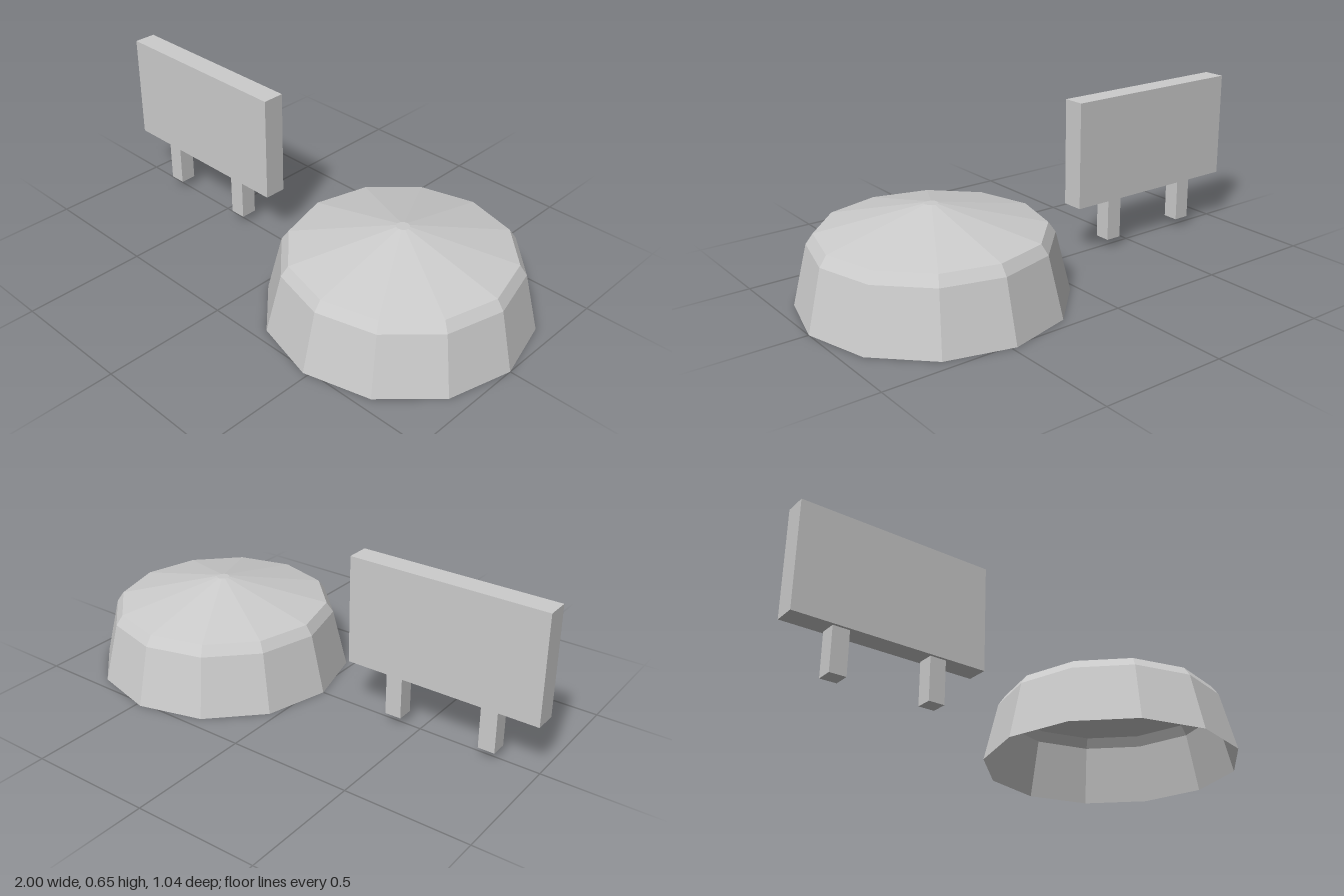
import * as THREE from 'three';

export function createModel() {
  const model = new THREE.Group();
  const material = new THREE.MeshStandardMaterial({ color: 0xcccccc, flatShading: true });
  const shellMaterial = new THREE.MeshStandardMaterial({
    color: 0xcccccc, flatShading: true, side: THREE.DoubleSide,
  });

  function addBox(parent, name, size, position) {
    const mesh = new THREE.Mesh(new THREE.BoxGeometry(...size), material);
    mesh.name = name;
    mesh.position.set(...position);
    parent.add(mesh);
  }

  // Twelve-sided dome: sloping wall, small bevel, shallow roof; open underneath
  const profile = [[0.52, 0], [0.462, 0.24], [0.434, 0.28], [0.026, 0.377], [0, 0.377]]
    .map(([r, y]) => new THREE.Vector2(r, y));
  const dome = new THREE.Mesh(new THREE.LatheGeometry(profile, 12), shellMaterial);
  dome.name = 'dome';
  dome.position.x = 0.48;
  model.add(dome);

  // Signboard on two square posts
  const sign = new THREE.Group();
  sign.name = 'sign';
  sign.position.x = -0.5975;
  addBox(sign, 'board', [0.805, 0.44, 0.092], [0, 0.435, 0]);
  for (const side of [-1, 1]) {
    addBox(sign, side < 0 ? 'rightPost' : 'leftPost', [0.068, 0.178, 0.068], [side * 0.2015, 0.126, 0]);
  }
  model.add(sign);

  return model;
}
